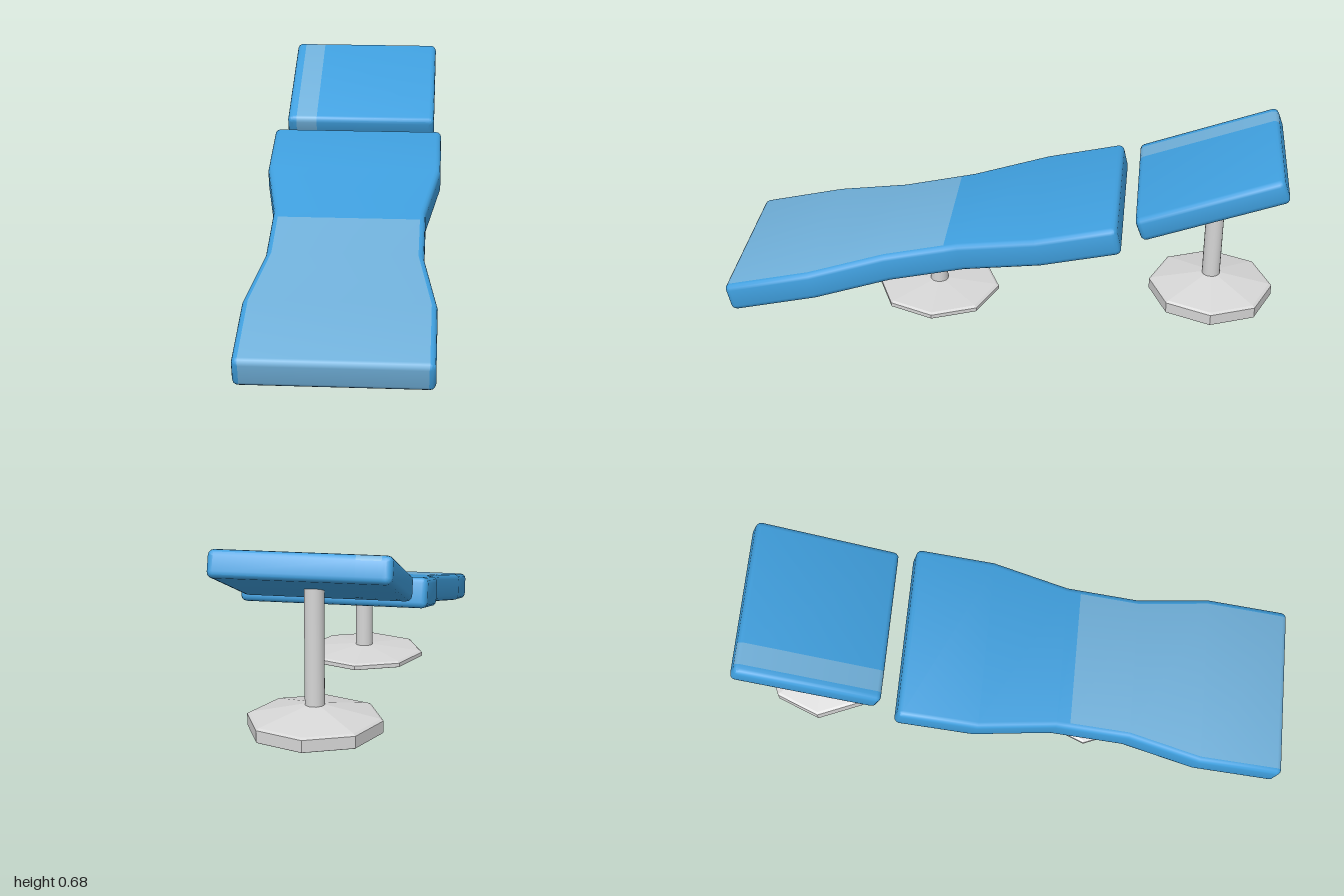
import * as THREE from 'three';
import { toCreasedNormals } from 'three/addons/utils/BufferGeometryUtils.js';

const ARC = 3; // steps in each rounded edge

// Rounded cushion: stations are [z, halfWidth] from back to front.
// isAccent(column, z, part) picks the second material; column runs over the top points.
function cushionGeometry(stations, thickness, r, innerXs, isAccent) {
  const h = thickness / 2;
  const ring = (z, w, inset) => {
    const c = Math.max(r - inset, 0.002), W = w - inset, H = h - inset;
    const left = [], right = [];
    for (let k = 0; k <= ARC; k++) {
      const a = (k / ARC) * Math.PI / 2;
      const x = W - c + c * Math.cos(a), y = H - c + c * Math.sin(a);
      left.push([-x, y, z]);
      right.unshift([x, y, z]);
    }
    const top = [...left, ...innerXs.map(x => [x, H, z]), ...right];
    return [...top, ...top.map(([x, y]) => [x, -y, z]).reverse()];
  };

  // rings, with both ends rounded over
  const rings = [];
  const [z0, w0] = stations[0], [z1, w1] = stations[stations.length - 1];
  for (let k = 0; k <= ARC; k++) {
    const a = (k / ARC) * Math.PI / 2;
    rings.push(ring(z0 + r * (1 - Math.sin(a)), w0, r * (1 - Math.cos(a))));
  }
  rings.reverse();
  rings.length = 0;
  for (let k = ARC; k >= 0; k--) {
    const a = (k / ARC) * Math.PI / 2;
    rings.push(ring(z0 + r * (1 - Math.sin(a)), w0, r * (1 - Math.cos(a))));
  }
  for (const [z, w] of stations.slice(1, -1)) rings.push(ring(z, w, 0));
  for (let k = 0; k <= ARC; k++) {
    const a = (k / ARC) * Math.PI / 2;
    rings.push(ring(z1 - r * (1 - Math.sin(a)), w1, r * (1 - Math.cos(a))));
  }

  const n = rings[0].length, m = n / 2, faces = [[], []];
  const quad = (accent, a, b, c, d) => faces[accent ? 1 : 0].push(...a, ...b, ...c, ...a, ...c, ...d);

  // skin between rings
  for (let j = 0; j < rings.length - 1; j++) {
    const A = rings[j], B = rings[j + 1], z = (A[0][2] + B[0][2]) / 2;
    for (let i = 0; i < n; i++) {
      const k = (i + 1) % n;
      const side = i === m - 1 || i === n - 1;
      const col = i < m ? i : n - 2 - i;
      const part = side ? 'side' : i < m ? 'top' : 'bottom';
      quad(isAccent(col, z, part), A[i], B[i], B[k], A[k]);
    }
  }
  // end faces
  const F = rings[rings.length - 1], K = rings[0];
  for (let i = 0; i < m - 1; i++) {
    quad(isAccent(i, z1, 'front'), F[n - 1 - i], F[n - 2 - i], F[i + 1], F[i]);
    quad(isAccent(i, z0, 'back'), K[i], K[i + 1], K[n - 2 - i], K[n - 1 - i]);
  }

  const g = new THREE.BufferGeometry();
  g.setAttribute('position', new THREE.Float32BufferAttribute([...faces[0], ...faces[1]], 3));
  const split = faces[0].length / 3;
  g.addGroup(0, split, 0);
  g.addGroup(split, faces[1].length / 3, 1);
  return toCreasedNormals(g, 0.6);
}

export function createModel() {
  const blue = new THREE.MeshStandardMaterial({ color: 0x3f9fde });
  blue.name = 'blue upholstery';
  const pale = new THREE.MeshStandardMaterial({ color: 0x70b0da });
  pale.name = 'pale blue upholstery';
  const metal = new THREE.MeshStandardMaterial({ color: 0xd6d6d6 });
  metal.name = 'light grey metal';

  const model = new THREE.Group();
  model.name = 'lounger';
  const add = (name, geometry, material, x, y, z, tilt = 0) => {
    const mesh = new THREE.Mesh(geometry, material);
    mesh.name = name;
    mesh.position.set(x, y, z);
    mesh.rotation.x = tilt;
    model.add(mesh);
  };

  // waisted body cushion with a pale foot section
  const paleFrom = -0.097;
  const body = cushionGeometry(
    [[-0.7285, 0.325], [-0.436, 0.325], [-0.148, 0.275], [paleFrom, 0.275],
      [0.129, 0.275], [0.406, 0.325], [0.7285, 0.325]],
    0.106, 0.02, [],
    (col, z, part) => z > paleFrom && part !== 'back' && part !== 'side' && col === ARC
  );
  add('bodyCushion', body, [blue, pale], 0, 0.266, 0.2825, 0.2304);

  // head cushion with a pale stripe on its right
  const head = cushionGeometry(
    [[-0.2665, 0.29], [0.2665, 0.29]], 0.091, 0.02, [-0.255, -0.175],
    (col, z, part) => col === ARC + 1 && (part === 'top' || part === 'front')
  );
  add('headCushion', head, [blue, pale], 0.005, 0.555, -0.74, 0.356);

  // pedestals: eight-sided foot and round post
  const pedestal = (name, z, bottom, rim, crown, postTop) => {
    const profile = [[0, bottom], [0.225, bottom], [0.227, bottom + 0.003], [0.227, rim - 0.006],
      [0.217, rim], [0.034, crown], [0, crown]].map(p => new THREE.Vector2(...p));
    const foot = new THREE.LatheGeometry(profile, 8).toNonIndexed();
    foot.computeVertexNormals();
    add(name + 'Foot', foot, metal, 0, 0, z);
    const h = postTop - crown + 0.01;
    add(name + 'Post', new THREE.CylinderGeometry(0.033, 0.033, h, 20), metal, 0, postTop - h / 2, z);
  };
  pedestal('frontPedestal', 0.256, 0, 0.022, 0.04, 0.25);
  pedestal('rearPedestal', -0.765, 0.045, 0.093, 0.132, 0.55);

  return model;
}
